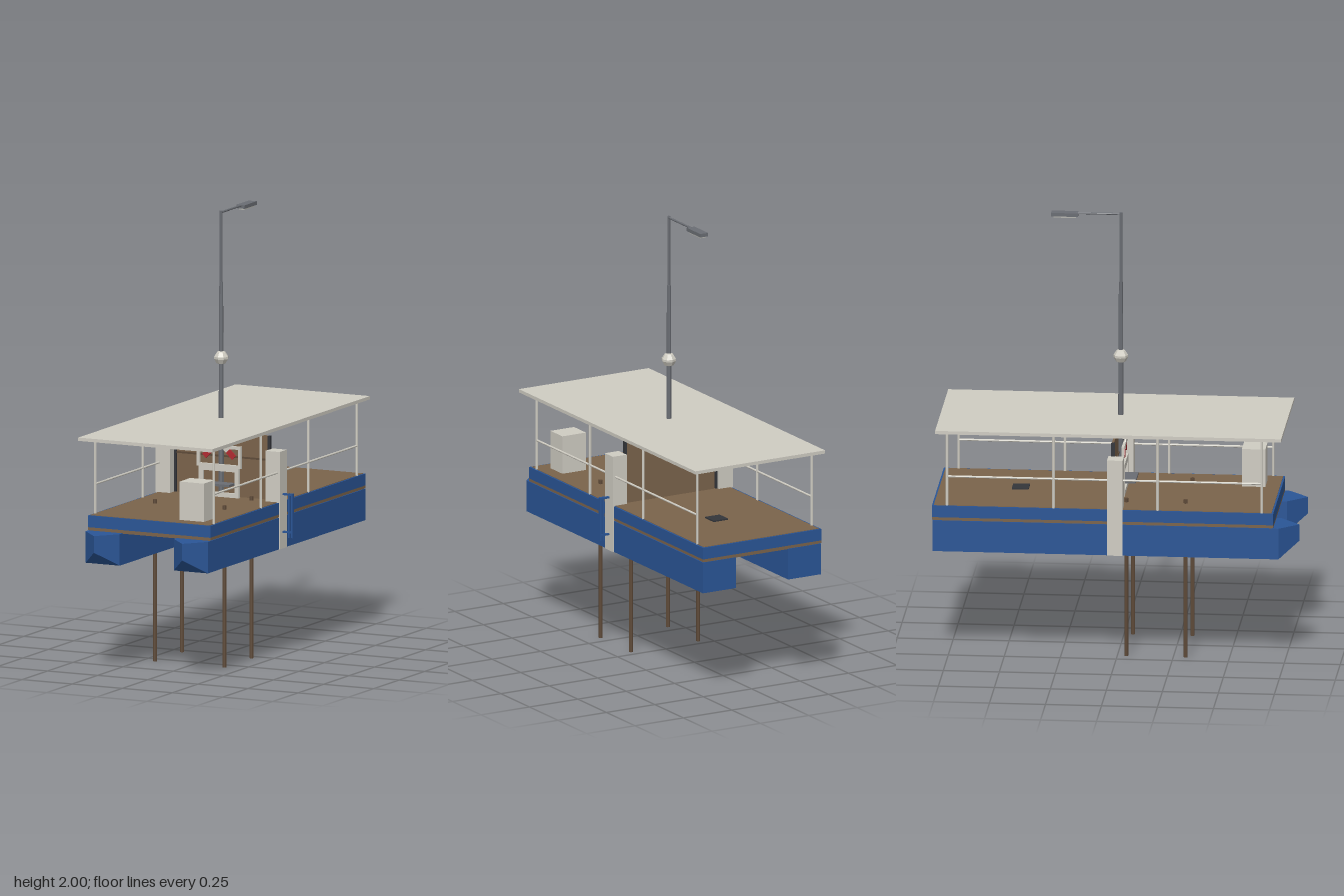
import * as THREE from 'three';
import { ConvexGeometry } from 'three/addons/geometries/ConvexGeometry.js';

const mat = (color) => new THREE.MeshStandardMaterial({ color, flatShading: true });

export function createModel() {
  const blue = mat(0x2a5596), brown = mat(0x7a634b), white = mat(0xcfccc2), steel = mat(0x6a6d73);
  const wood = mat(0x5e4a38), red = mat(0xb02a30), dark = mat(0x33353a), grey = mat(0xb4b4ae);
  const root = new THREE.Group();

  const add = (name, geo, m, x = 0, y = 0, z = 0, parent = root) => {
    const mesh = new THREE.Mesh(geo, m);
    mesh.name = name;
    mesh.position.set(x, y, z);
    parent.add(mesh);
    return mesh;
  };
  // box from its low and high corners
  const box = (name, m, [x0, x1], [y0, y1], [z0, z1], parent) =>
    add(name, new THREE.BoxGeometry(x1 - x0, y1 - y0, z1 - z0), m,
      (x0 + x1) / 2, (y0 + y1) / 2, (z0 + z1) / 2, parent);
  // round bar between two points
  const bar = (name, m, a, b, r0, r1 = r0, sides = 8) => {
    const p = new THREE.Vector3(...a), q = new THREE.Vector3(...b);
    const mesh = add(name, new THREE.CylinderGeometry(r1, r0, p.distanceTo(q), sides), m);
    mesh.position.copy(p).lerp(q, 0.5);
    mesh.quaternion.setFromUnitVectors(new THREE.Vector3(0, 1, 0), q.sub(p).normalize());
    return mesh;
  };

  const cx = -0.015; // centre line of the boat

  // two pontoons with wedge prows
  for (const s of [-1, 1]) {
    const c = cx + s * 0.22, pts = [];
    for (const x of [c - 0.085, c + 0.085])
      for (const y of [0.5, 0.642])
        for (const z of [-0.815, 0.73]) pts.push(new THREE.Vector3(x, y, z));
    pts.push(new THREE.Vector3(c, 0.64, 0.817), new THREE.Vector3(c, 0.565, 0.817));
    add('pontoon', new ConvexGeometry(pts), blue);
  }

  // deck: underside, rubbing strip, blue frame, planking
  box('deckUnderside', brown, [-0.315, 0.285], [0.64, 0.66], [-0.812, 0.702]);
  box('rubbingStrip', brown, [-0.32, 0.29], [0.645, 0.657], [-0.817, 0.707]);
  box('deckFrame', blue, [-0.32, 0.29], [0.657, 0.71], [-0.817, 0.707]);
  box('deckPlanking', brown, [-0.312, 0.282], [0.7, 0.712], [-0.809, 0.699]);
  box('hatch', dark, [-0.035, 0.04], [0.71, 0.718], [-0.485, -0.41]);

  // faceted tub slung between the pontoons
  const tub = add('tub', new THREE.CylinderGeometry(0.135, 0.085, 0.11, 10), grey, cx, 0.587, 0);
  tub.scale.z = 3.4;

  // canopy, posts and side rails
  box('canopy', white, [-0.35, 0.32], [1.05, 1.065], [-0.8, 0.745]);
  for (const x of [cx - 0.295, cx + 0.295]) {
    for (const z of [0.655, 0.19, -0.275, -0.75])
      bar('canopyPost', white, [x, 0.71, z], [x, 1.052, z], 0.006);
    bar('sideRail', white, [x, 0.845, -0.75], [x, 0.845, 0.655], 0.005);
  }

  // anchoring legs
  for (const x of [-0.19, 0.157])
    for (const z of [0.305, 0.04])
      bar('leg', wood, [x, 0, z], [x, 0.73, z], 0.009);

  // locker on the foredeck
  box('locker', white, [0.1, 0.222], [0.71, 0.885], [0.53, 0.635]);

  // midship wall between two side pillars
  box('wall', brown, [-0.24, 0.215], [0.71, 1.0], [-0.02, -0.01]);
  for (const s of [-1, 1]) {
    const p = cx + s * 0.274, e = cx + s * 0.234;
    box('sidePillar', white, [p - 0.036, p + 0.036], [0.5, 0.94], [-0.035, 0.035]);
    box('wallPost', dark, [e - 0.006, e + 0.006], [0.71, 1.0], [-0.022, -0.006]);
  }
  box('wallTrim', wood, [-0.24, 0.215], [0.888, 0.896], [-0.011, -0.006]);

  // mast, collar and overhanging lamp
  bar('mastLower', steel, [cx, 0.48, 0], [cx, 1.31, 0], 0.014, 0.011);
  bar('mastMiddle', steel, [cx, 1.31, 0], [cx, 1.68, 0], 0.011, 0.009);
  bar('mastUpper', steel, [cx, 1.68, 0], [cx, 2.0, 0], 0.007);
  const collar = [[0.01, 1.308], [0.022, 1.312], [0.033, 1.332], [0.033, 1.342], [0.02, 1.362], [0.008, 1.368]];
  add('mastCollar', new THREE.LatheGeometry(collar.map((p) => new THREE.Vector2(...p)), 8), white, cx);
  bar('lampArm', steel, [cx, 1.993, 0], [cx, 1.993, -0.2], 0.005);
  box('lampHead', steel, [cx - 0.02, cx + 0.02], [1.98, 1.996], [-0.31, -0.19]);
  box('lampGlass', grey, [cx - 0.014, cx + 0.014], [1.973, 1.98], [-0.3, -0.2]);

  // crossed boards with red tips
  const cross = new THREE.Group();
  cross.name = 'crossedBoards';
  cross.position.set(cx, 0.965, 0.02);
  root.add(cross);
  for (const s of [-1, 1]) {
    const arm = new THREE.Group();
    arm.name = 'crossArm';
    arm.rotation.z = s * Math.PI / 4;
    arm.position.z = s * 0.002;
    cross.add(arm);
    box('crossBoard', white, [-0.062, 0.062], [-0.013, 0.013], [-0.003, 0.003], arm);
    for (const t of [-1, 1])
      add('crossTip', new THREE.BoxGeometry(0.042, 0.026, 0.006), red, t * 0.083, 0, 0, arm);
  }

  // open frames on the mast: rectangular plates with a window
  const frame = (name, w, h, rim, y) => {
    const s = new THREE.Shape(), hole = new THREE.Path();
    const rect = (p, a, b) => p.moveTo(-a, -b).lineTo(a, -b).lineTo(a, b).lineTo(-a, b).closePath();
    rect(s, w / 2, h / 2);
    rect(hole, w / 2 - rim, h / 2 - rim);
    s.holes.push(hole);
    add(name, new THREE.ExtrudeGeometry(s, { depth: 0.012, bevelEnabled: false }), white, cx, y, 0.013);
  };
  frame('upperFrame', 0.22, 0.1, 0.014, 0.895);
  frame('lowerFrame', 0.2, 0.14, 0.022, 0.78);
  box('shelf', steel, [cx - 0.075, cx + 0.075], [0.768, 0.778], [0.01, 0.072]);
  box('footPlate', white, [cx - 0.11, cx + 0.11], [0.485, 0.53], [-0.005, 0.005]);

  // boarding ladder on the left side
  for (const x of [0.325, 0.341])
    box('ladderRail', blue, [x - 0.004, x + 0.004], [0.55, 0.75], [-0.006, 0.006]);
  for (const y of [0.575, 0.745])
    box('ladderBracket', blue, [0.285, 0.341], [y - 0.004, y + 0.004], [-0.006, 0.006]);

  return root;
}
